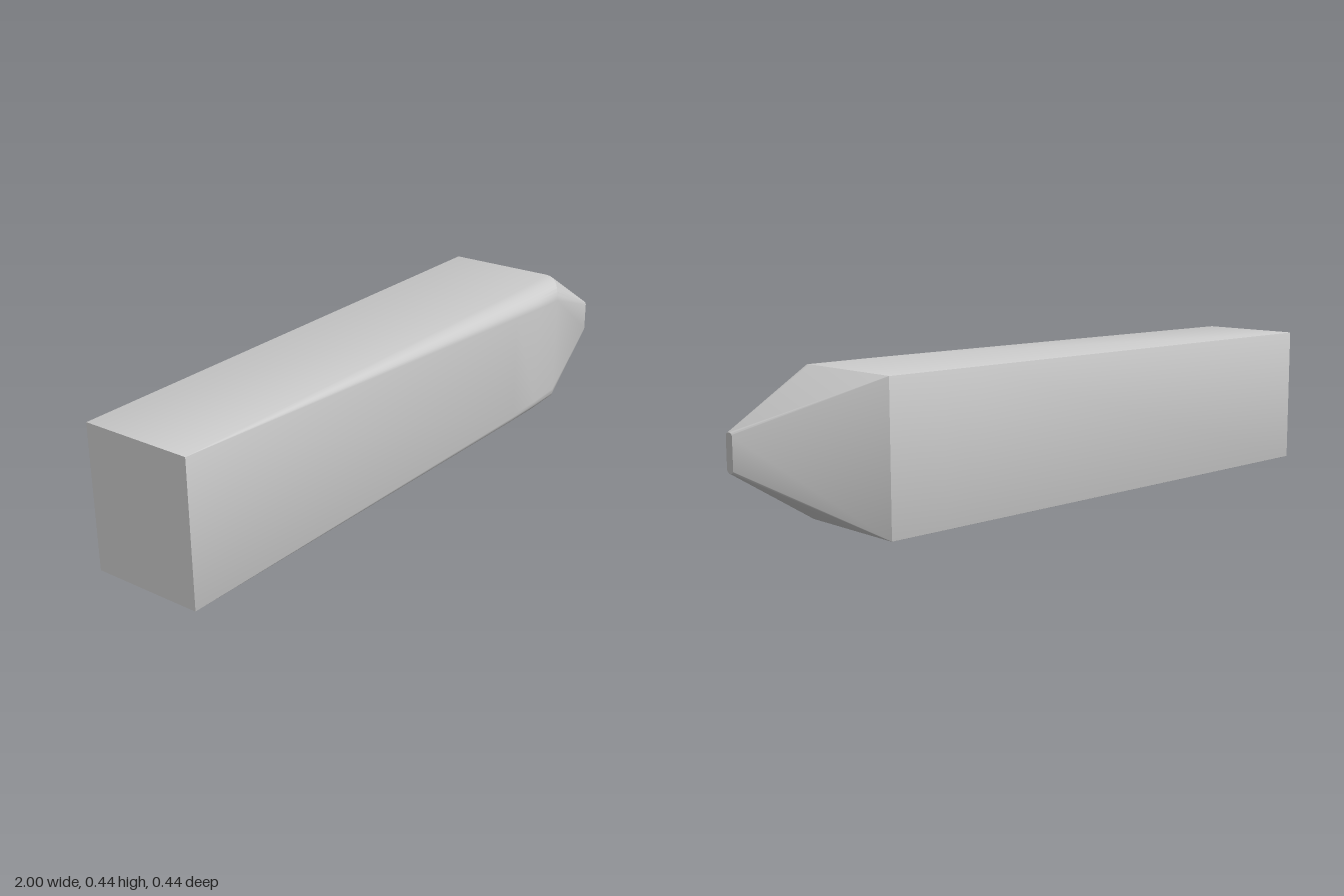
import * as THREE from 'three';
import { toCreasedNormals } from 'three/addons/utils/BufferGeometryUtils.js';

const STEPS = 10; // segments per rounded corner
const HEIGHT = 0.437;
const TINY = 0.0005; // radius of a corner that is practically sharp

// One rounded-rectangle section across x; the bend pulls the front corners back along x.
function section({ x, back, front, low = 0, high = HEIGHT, backR = [TINY, TINY], frontR, bend = 0 }) {
  const points = [];
  const corners = [
    [back, low, backR, 1, 1],
    [front, low, frontR, -1, 1],
    [front, high, frontR, -1, -1],
    [back, high, backR, 1, -1],
  ];
  corners.forEach(([z, y, [rz, ry], sz, sy], c) => {
    for (let i = 0; i <= STEPS; i++) {
      const a = Math.PI * (1 + c / 2 + i / STEPS / 2);
      const pz = z + sz * rz + rz * Math.cos(a);
      const py = y + sy * ry + ry * Math.sin(a);
      const u = Math.max(0, (pz - (front - frontR[0])) / frontR[0]);
      points.push(new THREE.Vector3(x - bend * u * u, py, pz));
    }
  });
  return points;
}

// Skins consecutive sections and closes both ends.
function loft(sections) {
  const pos = [];
  const tri = (...corners) => corners.forEach((p) => pos.push(p.x, p.y, p.z));
  const n = sections[0].length;
  for (let s = 0; s < sections.length - 1; s++) {
    const A = sections[s], B = sections[s + 1];
    for (let i = 0; i < n; i++) {
      const j = (i + 1) % n;
      tri(A[i], B[i], A[j]);
      tri(A[j], B[i], B[j]);
    }
  }
  const cap = (ring, flip) => {
    const centre = ring.reduce((sum, p) => sum.add(p), new THREE.Vector3()).divideScalar(n);
    for (let i = 0; i < n; i++) {
      const j = (i + 1) % n;
      if (flip) tri(centre, ring[j], ring[i]);
      else tri(centre, ring[i], ring[j]);
    }
  };
  cap(sections[0], false);
  cap(sections[sections.length - 1], true);
  const geometry = new THREE.BufferGeometry();
  geometry.setAttribute('position', new THREE.Float32BufferAttribute(pos, 3));
  return toCreasedNormals(geometry, 0.4);
}

export function createModel() {
  const group = new THREE.Group();
  group.name = 'taperedBlock';
  const back = -0.219;

  // Long body: square at one end, front edges rounding off towards the other
  const stations = [
    { x: -1, back, front: 0.128, frontR: [TINY, TINY] },
    { x: 0.43, back, front: 0.212, frontR: [0.068, 0.048] },
    { x: 0.56, back, front: 0.218, frontR: [0.074, 0.053] },
    { x: 0.747, back, front: 0.218, frontR: [0.08, 0.058], bend: 0.065 },
    // Small rounded end face of the tapered nose
    { x: 1, back: 0.134, front: 0.165, low: 0.163, high: 0.275, backR: [0.014, 0.011], frontR: [0.014, 0.011] },
  ];
  const body = new THREE.Mesh(
    loft(stations.map(section)),
    new THREE.MeshStandardMaterial({ color: 0xcccccc })
  );
  body.name = 'bodyWithTaperedNose';
  group.add(body);
  return group;
}
